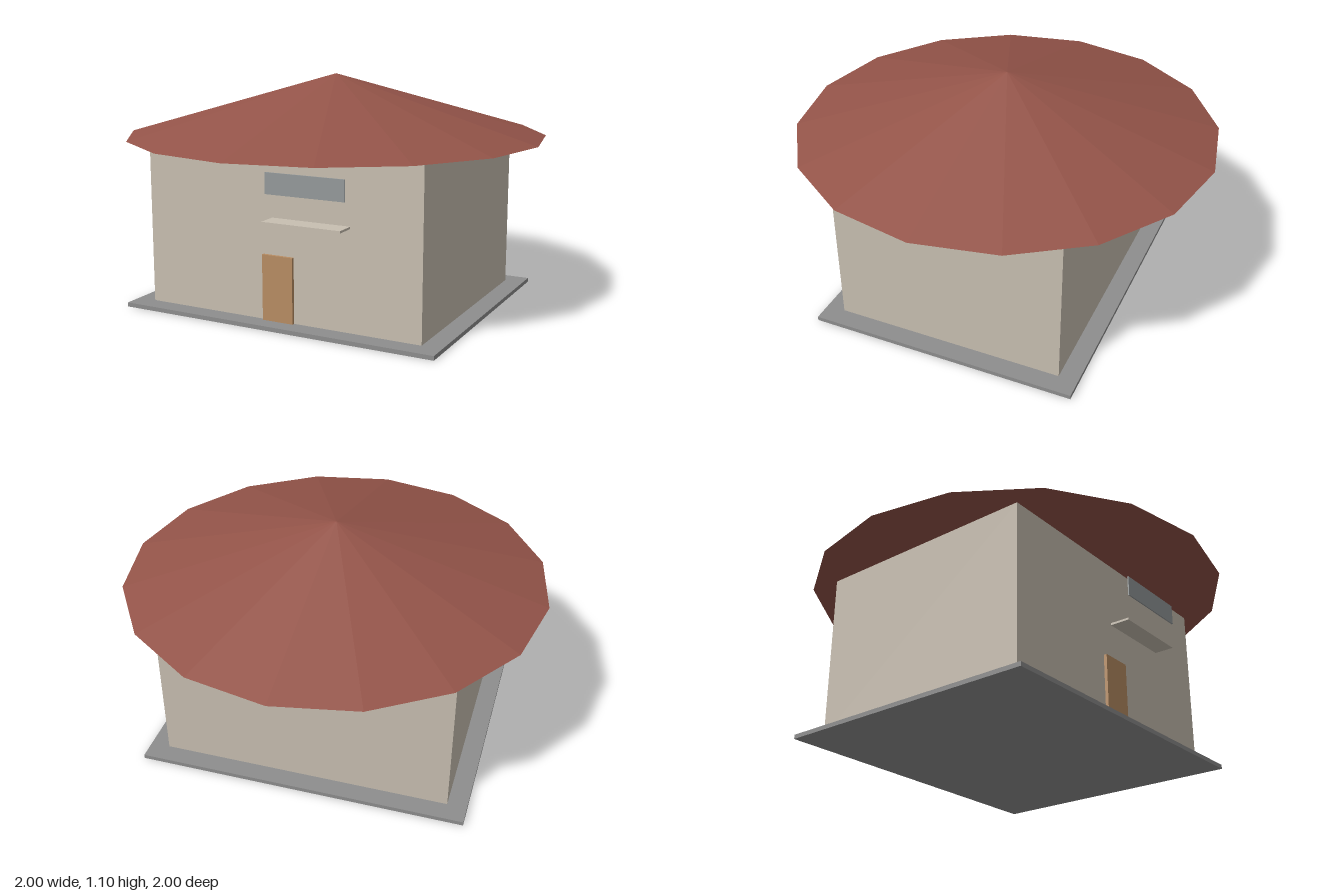
import * as THREE from 'three';

const material = (name, color, flatShading = false) => {
  const m = new THREE.MeshStandardMaterial({ color, flatShading });
  m.name = name;
  return m;
};

export function createModel() {
  const house = new THREE.Group();
  house.name = 'house';

  const wall = material('beige plaster', 0xc8bfb1);
  const roofRed = material('roof red', 0x945449, true);
  const stone = material('stone grey', 0x8e8e8e);
  const wood = material('door brown', 0xb88d63);
  const glass = material('window grey', 0x959a9b);

  // Box given by its extents on each axis
  const box = (name, mat, [x0, x1], [y0, y1], [z0, z1]) => {
    const mesh = new THREE.Mesh(new THREE.BoxGeometry(x1 - x0, y1 - y0, z1 - z0), mat);
    mesh.position.set((x0 + x1) / 2, (y0 + y1) / 2, (z0 + z1) / 2);
    mesh.name = name;
    house.add(mesh);
  };

  box('foundation', stone, [-0.785, 0.785], [0, 0.02], [-0.645, 0.645]);
  box('walls', wall, [-0.693, 0.693], [0.02, 0.808], [-0.554, 0.554]);
  box('door', wood, [-0.077, 0.077], [0.02, 0.325], [0.554, 0.569]);

  // Window pane and ledge stand clear of the front wall
  box('windowPane', glass, [-0.004, 0.381], [0.622, 0.718], [0.651, 0.657]);
  box('windowLedge', wall, [-0.024, 0.361], [0.488, 0.498], [0.564, 0.658]);

  // Sixteen-sided roof with a closed underside
  const roof = new THREE.Mesh(new THREE.ConeGeometry(1, 0.287, 16), roofRed);
  roof.position.y = 0.808 + 0.287 / 2;
  roof.name = 'roof';
  house.add(roof);

  return house;
}
